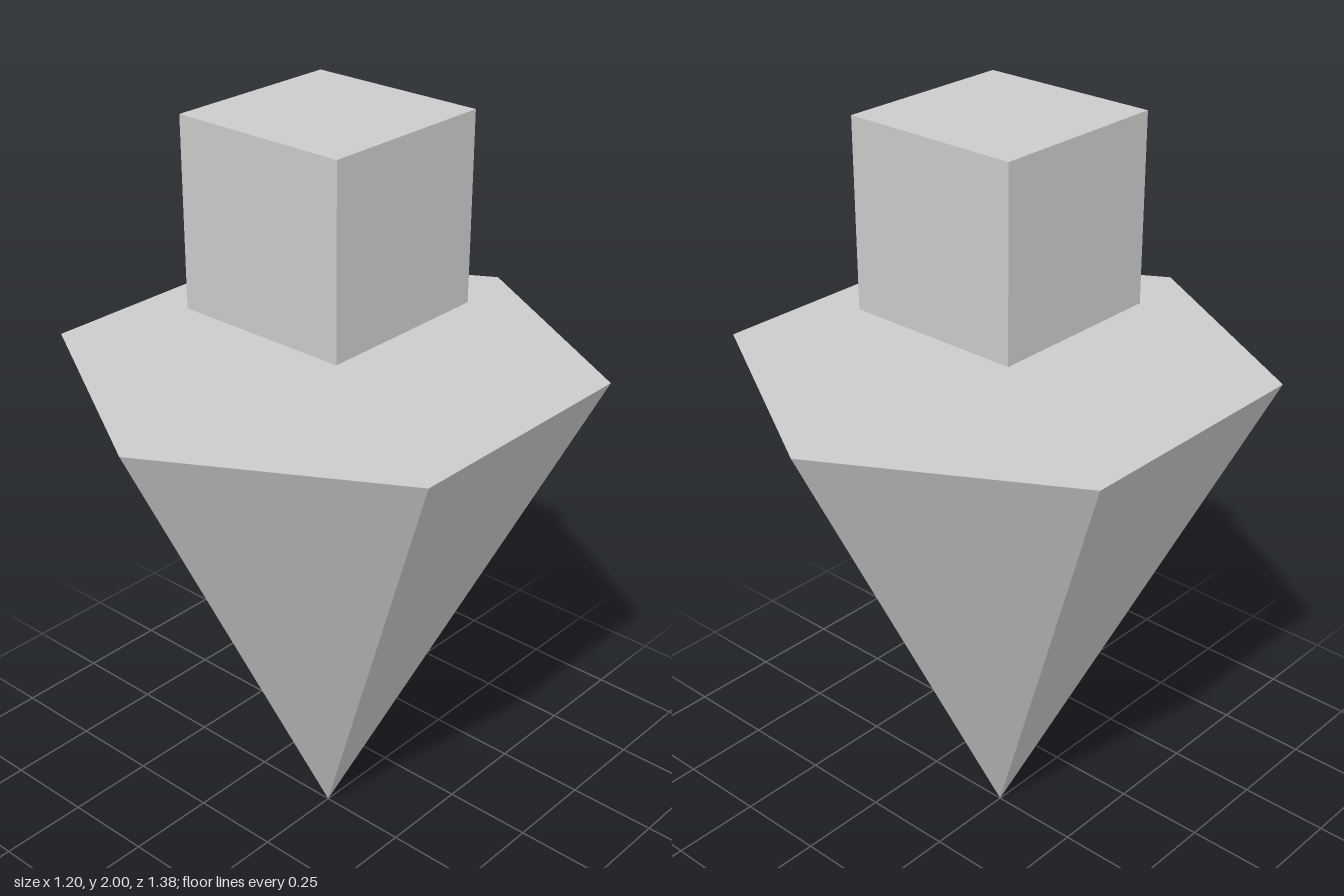
import * as THREE from 'three';

export function createModel() {
  const group = new THREE.Group();
  const material = new THREE.MeshStandardMaterial({ color: 0xcccccc, flatShading: true });

  const addPart = (name, geometry, y) => {
    const mesh = new THREE.Mesh(geometry, material);
    mesh.name = name;
    mesh.position.y = y;
    group.add(mesh);
  };

  // Six-sided cone standing on its tip, with a flat top
  const radius = 0.69, height = 1.38;
  addPart('invertedCone', new THREE.ConeGeometry(radius, height, 6).rotateX(Math.PI), height / 2);

  // Cube floating above the cone
  const size = 0.48;
  addPart('floatingCube', new THREE.BoxGeometry(size, size, size), 2 - size / 2);

  return group;
}
